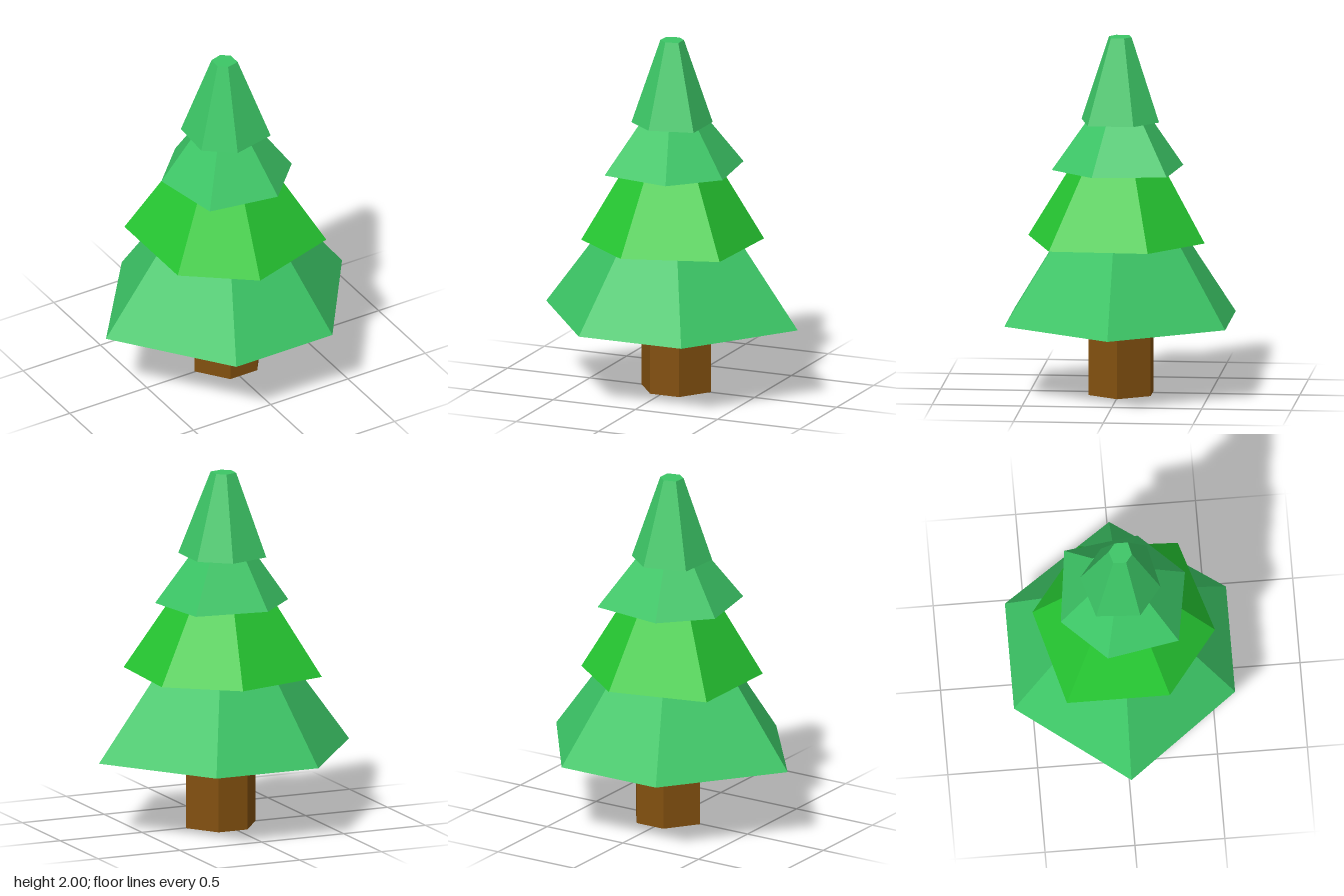
import * as THREE from 'three';

const leafGreen = new THREE.MeshStandardMaterial({ color: 0x3cc666 });
leafGreen.name = 'leafGreen';
const brightGreen = new THREE.MeshStandardMaterial({ color: 0x26c832 });
brightGreen.name = 'brightGreen';
const barkBrown = new THREE.MeshStandardMaterial({ color: 0x82500f });
barkBrown.name = 'barkBrown';

// Faceted, capped solid: an [x, z] outline at y0 that shrinks by `taper` at y1.
function frustum(outline, y0, y1, taper) {
  const bottom = outline.map(([x, z]) => [x, y0, z]);
  const top = outline.map(([x, z]) => [x * taper, y1, z * taper]);
  const n = outline.length;
  const points = [];
  for (let i = 0; i < n; i++) {
    const j = (i + 1) % n;
    points.push(bottom[j], bottom[i], top[i], bottom[j], top[i], top[j]); // side
    points.push(top[j], top[i], [0, y1, 0]); // upper cap
    points.push(bottom[i], bottom[j], [0, y0, 0]); // lower cap
  }
  const geometry = new THREE.BufferGeometry();
  geometry.setAttribute('position', new THREE.Float32BufferAttribute(points.flat(), 3));
  geometry.computeVertexNormals(); // unshared corners give flat faces
  return geometry;
}

const parts = [
  { name: 'trunk', material: barkBrown, y0: 0, y1: 0.415, taper: 1,
    outline: [[-0.19, -0.005], [-0.06, -0.18], [0.115, -0.18], [0.235, -0.005], [0.115, 0.165], [-0.06, 0.165]] },
  { name: 'bottomBranches', material: leafGreen, y0: 0.415, y1: 0.862, taper: 0.565,
    outline: [[-0.765, 0], [-0.292, -0.615], [0.33, -0.615], [0.763, 0], [0.33, 0.615], [-0.292, 0.615]] },
  { name: 'lowerBranches', material: brightGreen, y0: 0.862, y1: 1.265, taper: 0.53,
    outline: [[-0.445, -0.333], [0.105, -0.48], [0.47, -0.197], [0.447, 0.356], [-0.08, 0.52], [-0.445, 0.24]] },
  { name: 'upperBranches', material: leafGreen, y0: 1.265, y1: 1.528, taper: 0.5,
    outline: [[-0.112, -0.34], [0.305, -0.287], [0.362, 0.125], [0.125, 0.37], [-0.275, 0.303], [-0.348, -0.097]] },
  { name: 'treetop', material: leafGreen, y0: 1.528, y1: 2, taper: 0.29,
    outline: [[0.045, -0.22], [0.205, -0.092], [0.203, 0.163], [-0.045, 0.22], [-0.205, 0.095], [-0.19, -0.15]] },
];

export function createModel() {
  const tree = new THREE.Group();
  tree.name = 'pineTree';
  for (const { name, material, outline, y0, y1, taper } of parts) {
    const mesh = new THREE.Mesh(frustum(outline, y0, y1, taper), material);
    mesh.name = name;
    tree.add(mesh);
  }
  return tree;
}
